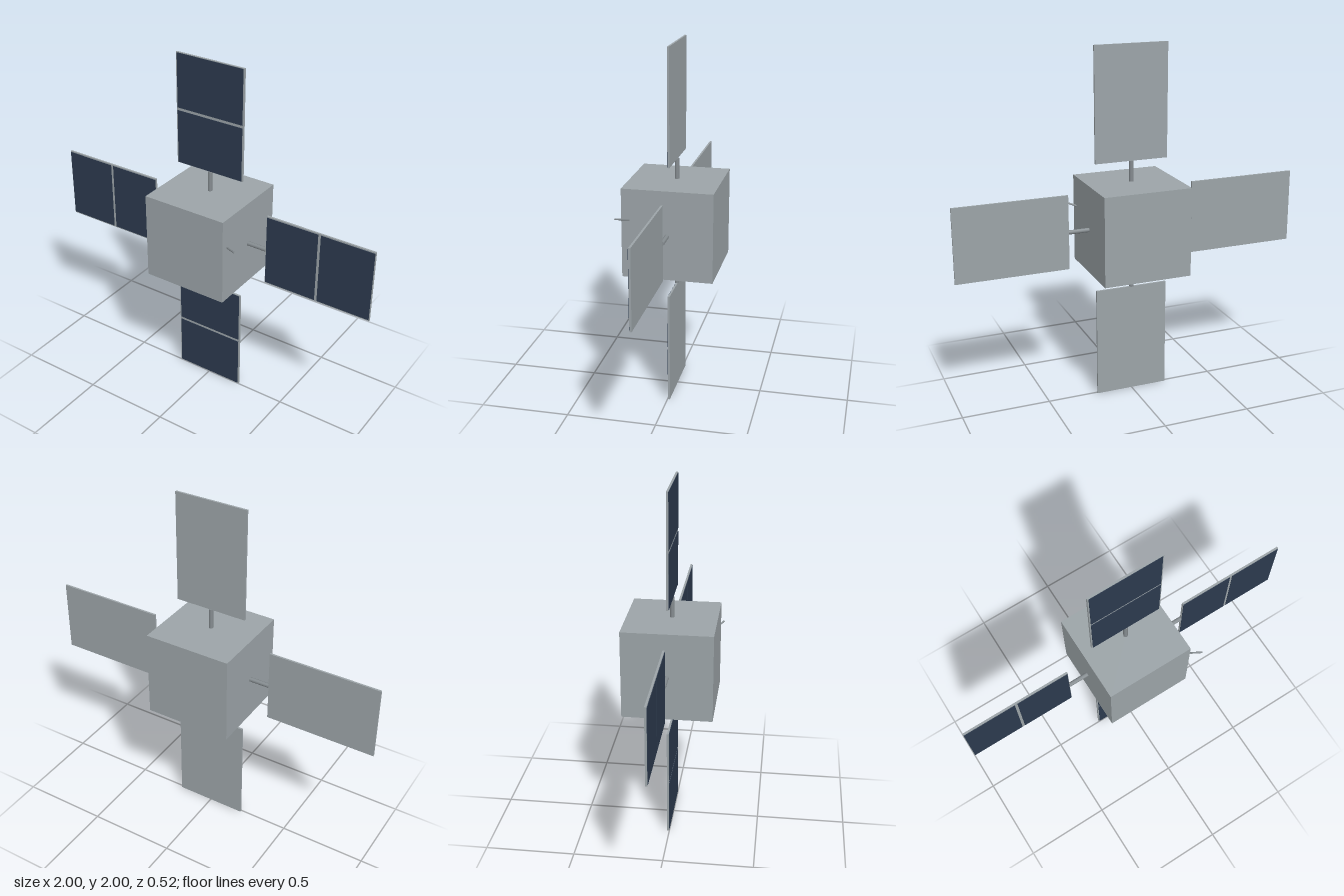
import * as THREE from 'three';

const material = (name, color) => {
  const m = new THREE.MeshStandardMaterial({ color });
  m.name = name;
  return m;
};

export function createModel() {
  const grey = material('bodyGrey', 0x9ca4a8);
  const rodGrey = material('rodGrey', 0x868d91);
  const navy = material('cellNavy', 0x2c3a4e);

  const model = new THREE.Group();
  model.name = 'satellite';
  // Body and panels sit slightly back to balance the antenna
  const craft = new THREE.Group();
  craft.name = 'craft';
  craft.position.set(0, 1, -0.008);
  model.add(craft);

  const add = (parent, name, geometry, mat, x = 0, y = 0, z = 0) => {
    const mesh = new THREE.Mesh(geometry, mat);
    mesh.name = name;
    mesh.position.set(x, y, z);
    parent.add(mesh);
    return mesh;
  };

  // Cube body
  add(craft, 'body', new THREE.BoxGeometry(0.5, 0.5, 0.5), grey);

  // Four wings: rod, backing panel, two thin cell plates
  const rodGeo = new THREE.CylinderGeometry(0.0125, 0.0125, 0.125, 8).rotateZ(Math.PI / 2);
  const panelGeo = new THREE.BoxGeometry(0.634, 0.42, 0.011);
  const cellGeo = new THREE.BoxGeometry(0.306, 0.406, 0.003);
  for (let i = 0; i < 4; i++) {
    const wing = new THREE.Group();
    wing.name = 'solarWing' + (i + 1);
    wing.rotation.z = i * Math.PI / 2;
    add(wing, 'rod', rodGeo, rodGrey, 0.304);
    add(wing, 'panel', panelGeo, grey, 0.683);
    for (const s of [-1, 1]) add(wing, 'solarCells', cellGeo, navy, 0.683 + s * 0.161, 0, 0.0065);
    craft.add(wing);
  }

  // Short slanted antenna on the left side
  const base = new THREE.Vector3(0.245, 0.078, 0.205);
  const tip = new THREE.Vector3(0.33, 0.104, 0.262);
  const dir = tip.clone().sub(base);
  const mid = base.clone().add(tip).multiplyScalar(0.5);
  const antenna = add(craft, 'antenna', new THREE.CylinderGeometry(0.005, 0.005, dir.length(), 8),
    rodGrey, mid.x, mid.y, mid.z);
  antenna.quaternion.setFromUnitVectors(new THREE.Vector3(0, 1, 0), dir.normalize());

  return model;
}
